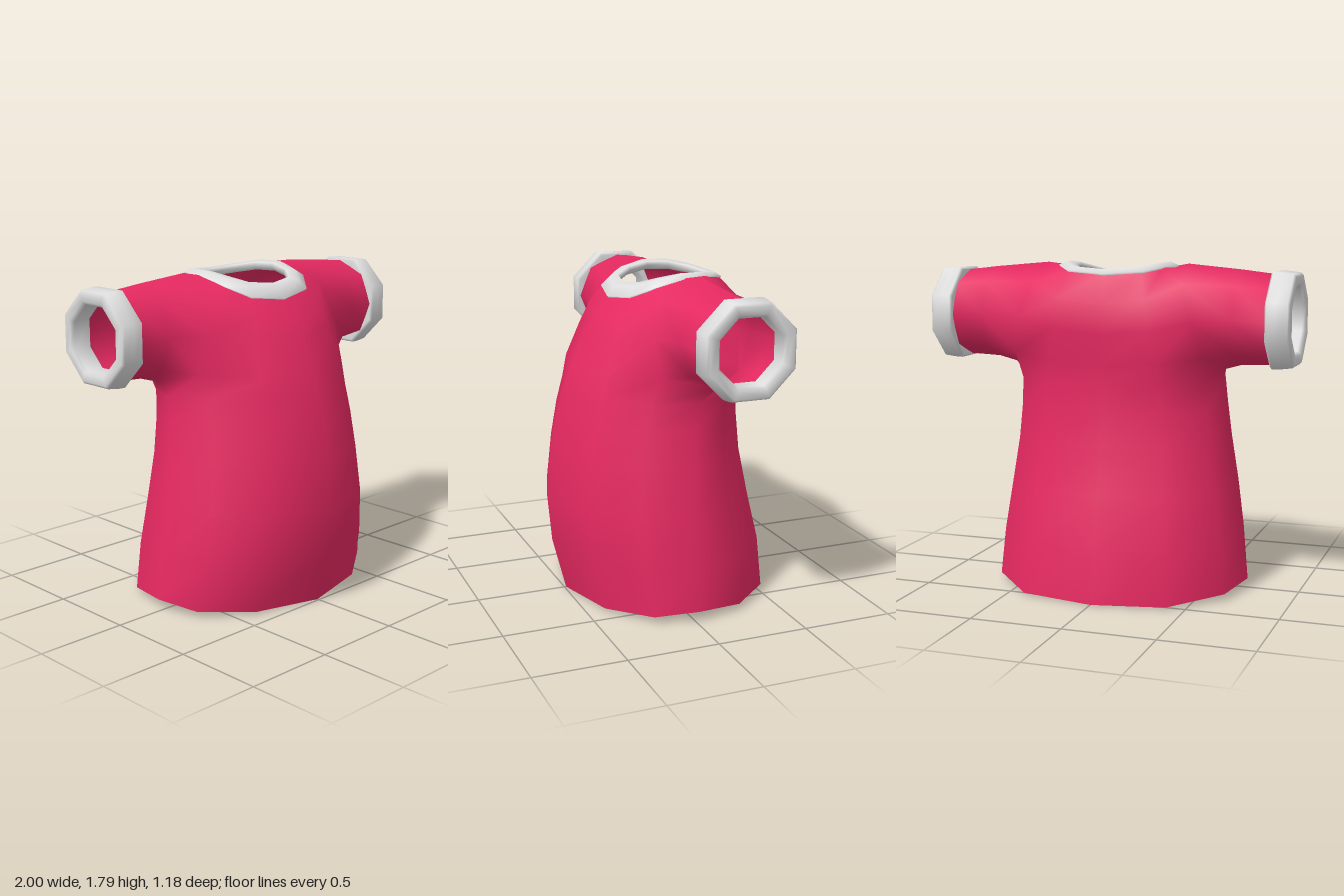
import * as THREE from 'three';

const COLS = 12;
const pink = new THREE.MeshStandardMaterial({ color: 0xe62961, side: THREE.DoubleSide });
pink.name = 'pink cloth';
const white = new THREE.MeshStandardMaterial({ color: 0xdedede, side: THREE.DoubleSide });
white.name = 'white trim';

// Seven points from front to back on the left side become a full ring of twelve
const mirrorRing = (half) => [
  ...half,
  ...half.slice(1, 6).reverse().map(([x, y, z]) => [-x, y, z]),
];

function toGeometry(points, index) {
  const g = new THREE.BufferGeometry();
  g.setAttribute('position', new THREE.Float32BufferAttribute(points.flat(), 3));
  g.setIndex(index);
  g.computeVertexNormals();
  return g;
}

// Horizontal torso section: half width, front z, back z, side z
function torsoRing(y, w, zf, zb, zs, dip = 0) {
  const fx = [0, 0.55, 0.91, 1, 0.91, 0.56, 0];
  const fz = [1, 0.82, 0.46, 0, 0.46, 0.91, 1];
  const fy = [0, 0.22, 0.65, 1, 0.6, 0.2, 0];
  return mirrorRing(fx.map((f, i) => [
    f * w, y + dip * fy[i], zs + ((i < 3 ? zf : zb) - zs) * fz[i],
  ]));
}

// Tilted, slightly squared oval whose height runs smoothly between front, side and back
function ovalRing(rx, zFront, zBack, yFront, ySide, yBack) {
  const a = ((yFront + yBack) / 2 + ySide) / 2;
  return Array.from({ length: COLS }, (_, i) => {
    const t = (i / COLS) * Math.PI * 2, c = Math.cos(t), s = Math.sin(t);
    return [
      rx * Math.sign(s) * Math.abs(s) ** 0.65,
      a + ((yFront - yBack) / 2) * c + (a - ySide) * Math.cos(2 * t),
      (zFront + zBack) / 2 + ((zFront - zBack) / 2) * c,
    ];
  });
}

function shirtGeometry() {
  const rings = [
    torsoRing(0.005, 0.717, 0.49, -0.588, -0.02, 0.057),
    torsoRing(0.3, 0.687, 0.566, -0.562, -0.025),
    torsoRing(0.56, 0.647, 0.59, -0.5, -0.03),
    torsoRing(0.82, 0.605, 0.565, -0.447, -0.04),
    torsoRing(1.02, 0.583, 0.527, -0.43, -0.05),
    torsoRing(1.16, 0.575, 0.487, -0.425, -0.07),
    // Chest and shoulders, shaped around the armholes
    mirrorRing([[0, 1.26, 0.45], [0.31, 1.28, 0.365], [0.54, 1.3, 0.13], [0.605, 1.235, -0.13],
      [0.53, 1.31, -0.32], [0.3, 1.28, -0.41], [0, 1.26, -0.428]]),
    mirrorRing([[0, 1.46, 0.36], [0.27, 1.47, 0.295], [0.48, 1.5, 0.145], [0.5, 1.5, -0.15],
      [0.48, 1.5, -0.4], [0.27, 1.45, -0.435], [0, 1.43, -0.445]]),
    mirrorRing([[0, 1.56, 0.295], [0.24, 1.59, 0.245], [0.42, 1.69, 0.08], [0.4, 1.79, -0.14],
      [0.42, 1.69, -0.34], [0.24, 1.61, -0.43], [0, 1.58, -0.445]]),
    ovalRing(0.315, 0.215, -0.38, 1.65, 1.775, 1.74),
  ];
  const pts = rings.flat(), index = [];
  const id = (r, c) => r * COLS + (c % COLS);
  const quad = (a, b, c, d) => index.push(a, b, c, a, c, d);

  // Torso skin, leaving an armhole on each side
  for (let r = 0; r < rings.length - 1; r++) {
    for (let c = 0; c < COLS; c++) {
      if ((r === 6 || r === 7) && [2, 3, 8, 9].includes(c)) continue;
      quad(id(r, c), id(r, c + 1), id(r + 1, c + 1), id(r + 1, c));
    }
  }

  // Sleeves grow out of the armholes
  for (const s of [1, -1]) {
    const c = s > 0 ? 2 : 8;
    let prev = [[6, 0], [6, 1], [6, 2], [7, 2], [8, 2], [8, 1], [8, 0], [7, 0]]
      .map(([r, k]) => id(r, c + k));
    for (const [x, y, z, rad] of [[0.7, 1.513, -0.148, 0.25], [0.9, 1.506, -0.155, 0.234]]) {
      const next = prev.map((_, k) => {
        const t = (-0.75 + 0.25 * k) * Math.PI;
        pts.push([s * x, y + rad * Math.sin(t), z - s * rad * Math.cos(t)]);
        return pts.length - 1;
      });
      prev.forEach((p, k) => {
        const n = (k + 1) % 8;
        quad(p, prev[n], next[n], next[k]);
      });
      prev = next;
    }
  }
  return toGeometry(pts, index);
}

function collarGeometry() {
  // Closed cross-section: outer edge, crown, inner edge, underside
  const rings = [
    ovalRing(0.318, 0.21, -0.375, 1.635, 1.755, 1.72),
    ovalRing(0.333, 0.228, -0.39, 1.652, 1.775, 1.742),
    ovalRing(0.285, 0.187, -0.365, 1.705, 1.797, 1.764),
    ovalRing(0.235, 0.14, -0.338, 1.728, 1.79, 1.758),
    ovalRing(0.225, 0.13, -0.33, 1.71, 1.77, 1.74),
    ovalRing(0.25, 0.15, -0.345, 1.675, 1.745, 1.715),
  ];
  const index = [];
  rings.forEach((_, r) => {
    const q = (r + 1) % rings.length;
    for (let c = 0; c < COLS; c++) {
      const d = (c + 1) % COLS;
      const [a, b, e, f] = [r * COLS + c, r * COLS + d, q * COLS + d, q * COLS + c];
      index.push(a, b, e, a, e, f);
    }
  });
  return toGeometry(rings.flat(), index);
}

// Octagonal band lying along the sleeve axis
function cuffGeometry(side) {
  const profile = [
    [0.2, 0.875], [0.255, 0.87], [0.27, 0.882], [0.268, 0.93], [0.26, 0.988],
    [0.245, 1], [0.202, 1], [0.184, 0.98], [0.184, 0.89], [0.2, 0.875],
  ].map(([r, x]) => new THREE.Vector2(r, x));
  const g = new THREE.LatheGeometry(profile, 8, Math.PI / 8);
  g.rotateZ((-side * Math.PI) / 2);
  g.translate(0, 1.508, -0.155);
  return g;
}

export function createModel() {
  const group = new THREE.Group();
  group.name = 'shirt';
  const add = (name, geometry, material) => {
    const mesh = new THREE.Mesh(geometry, material);
    mesh.name = name;
    group.add(mesh);
  };
  add('bodyAndSleeves', shirtGeometry(), pink);
  add('collar', collarGeometry(), white);
  add('leftCuff', cuffGeometry(1), white);
  add('rightCuff', cuffGeometry(-1), white);
  return group;
}
